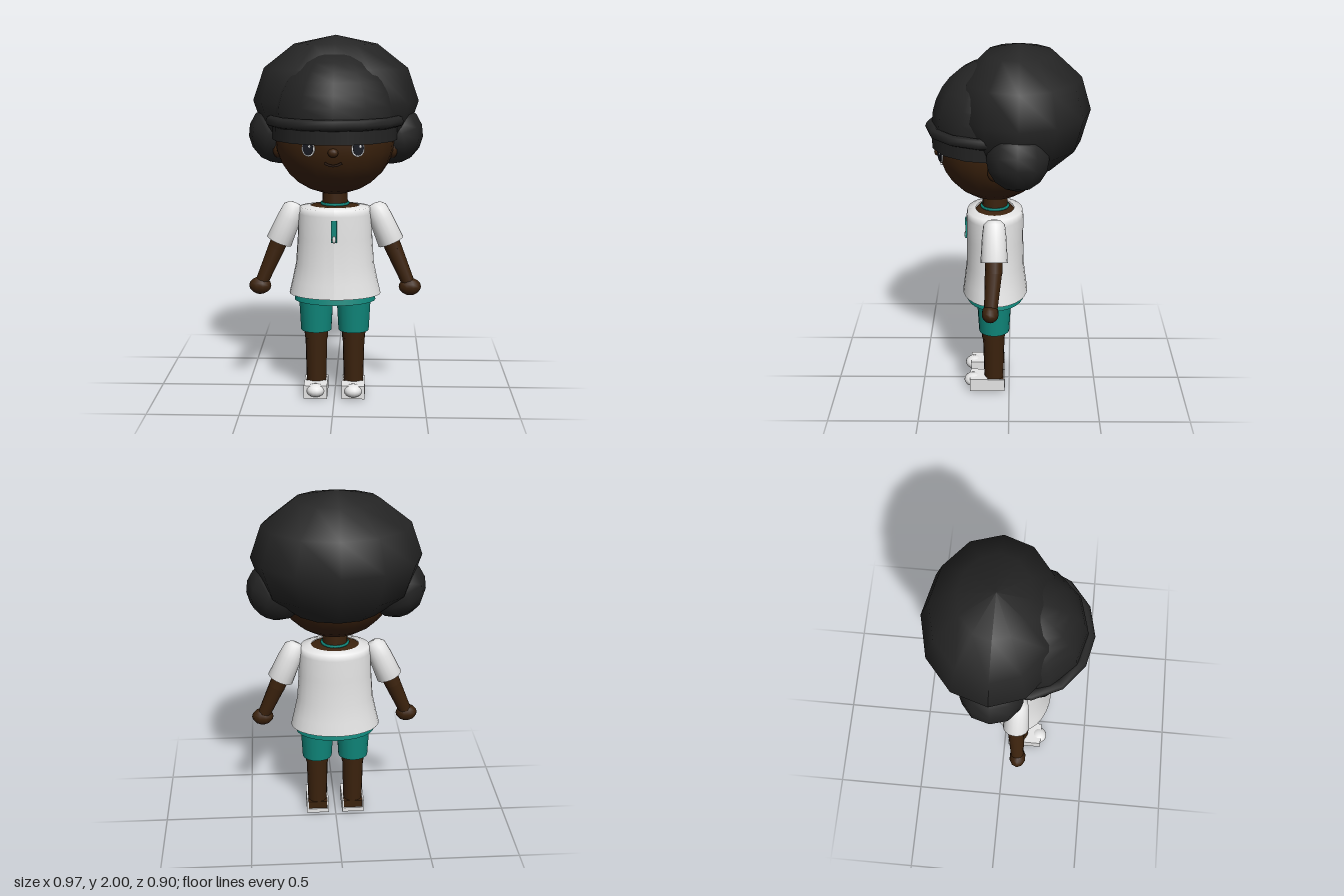
import * as THREE from 'three';

const mat = (name, color, side = THREE.FrontSide) => {
  const m = new THREE.MeshStandardMaterial({ color, side });
  m.name = name;
  return m;
};
const skin = mat('skin', 0x3b220d);
const hair = mat('hair', 0x242424, THREE.DoubleSide);
const cloth = mat('white cloth', 0xe6e6e6, THREE.DoubleSide);
const teal = mat('teal', 0x0f867a, THREE.DoubleSide);
const ink = mat('eye dark', 0x1a1c24);
const lip = mat('mouth', 0x241206);

const V2 = (pts) => pts.map(([x, y]) => new THREE.Vector2(x, y));
const CZ = 0.08; // depth of the body axis

export function createModel() {
  const root = new THREE.Group();
  const add = (name, geo, material, x = 0, y = 0, z = 0, parent = root) => {
    const m = new THREE.Mesh(geo, material);
    m.name = name;
    m.position.set(x, y, z);
    parent.add(m);
    return m;
  };
  const ball = (name, material, x, y, z, rx, ry, rz, seg = 16, rings = 12, parent = root) =>
    add(name, new THREE.SphereGeometry(1, seg, rings).scale(rx, ry, rz), material, x, y, z, parent);

  // Head
  ball('head', skin, 0, 1.45, CZ, 0.33, 0.31, 0.31, 20, 14);
  add('neck', new THREE.CylinderGeometry(0.068, 0.072, 0.16, 16), skin, 0, 1.12, CZ);
  ball('nose', skin, 0, 1.4, 0.39, 0.028, 0.024, 0.022, 10, 8);
  const smile = new THREE.QuadraticBezierCurve3(
    new THREE.Vector3(-0.045, 1.345, 0.37), new THREE.Vector3(0, 1.315, 0.375), new THREE.Vector3(0.045, 1.345, 0.37));
  add('mouth', new THREE.TubeGeometry(smile, 10, 0.007, 6), lip);

  // Hair: big rounded mass, slightly flattened in front and open underneath
  const afro = new THREE.SphereGeometry(1, 12, 5, 0, Math.PI * 2, 0, Math.PI * 5 / 6);
  afro.scale(0.46, 0.36, 0.39);
  const ap = afro.attributes.position;
  for (let i = 0; i < ap.count; i++) if (ap.getZ(i) > 0) ap.setZ(i, ap.getZ(i) * 0.92);
  afro.computeVertexNormals();
  add('hairMass', afro, hair, 0, 1.64, -0.05);

  // Cap-like front hair with a rolled rim and band
  const dome = new THREE.SphereGeometry(1, 12, 8, 0, Math.PI * 2, 0, Math.PI / 2);
  add('frontHair', dome.scale(0.345, 0.36, 0.345), hair, 0, 1.56, 0.075);
  const rim = new THREE.TorusGeometry(0.352, 0.03, 8, 14).rotateX(Math.PI / 2).rotateY(Math.PI / 14);
  // Turn the ring so that a flat side faces forward
  rim.rotateY(Math.PI / 2 - Math.PI / 14 + Math.PI);
  add('hairRim', rim, hair, 0, 1.545, 0.075);
  add('hairBand', new THREE.CylinderGeometry(0.35, 0.348, 0.1, 14, 1, true).rotateY(Math.PI / 14), hair, 0, 1.493, 0.075);

  // Torso and shirt
  const torso = add('torso', new THREE.LatheGeometry(V2([[0, 0.55], [0.19, 0.56], [0.17, 0.8], [0.17, 1.04], [0.13, 1.076], [0, 1.085]]), 20), skin, 0, 0, CZ);
  torso.scale.z = 0.74;
  const shirt = new THREE.LatheGeometry(V2([[0.255, 0.577], [0.238, 0.65], [0.217, 0.75], [0.207, 0.9], [0.203, 1.03], [0.195, 1.066], [0.135, 1.074]]), 28);
  const sp = shirt.attributes.position;
  for (let i = 0; i < sp.count; i++)
    sp.setZ(i, sp.getZ(i) * THREE.MathUtils.mapLinear(sp.getY(i), 0.577, 1.07, 0.72, 0.79));
  shirt.computeVertexNormals();
  add('shirt', shirt, cloth, 0, 0, CZ);
  add('collarCord', new THREE.TorusGeometry(0.074, 0.008, 6, 20).rotateX(Math.PI / 2), teal, 0, 1.086, CZ);
  add('shirtTab', new THREE.BoxGeometry(0.03, 0.12, 0.009), teal, 0, 0.953, 0.242);
  ball('tabBead', cloth, 0, 0.91, 0.247, 0.01, 0.02, 0.006, 8, 6);

  // Shorts waist
  const waist = add('shortsWaist', new THREE.CylinderGeometry(0.2, 0.227, 0.11, 24, 1, true), teal, 0, 0.595, CZ);
  waist.scale.z = 0.72;

  for (const s of [1, -1]) {
    const side = s > 0 ? 'left' : 'right';

    // Eye: stacked thin discs laid on the face
    const eye = new THREE.Group();
    eye.name = side + 'Eye';
    eye.position.set(s * 0.13, 1.42, 0.369);
    eye.rotation.set(0.06, s * 0.385, 0);
    root.add(eye);
    const disc = (name, m, rx, ry, x, y, z) =>
      add(name, new THREE.CylinderGeometry(1, 1, 0.006, 18).rotateX(Math.PI / 2).scale(rx, ry, 1), m, x, y, z, eye);
    disc('eyeWhite', cloth, 0.037, 0.042, 0, 0, 0);
    disc('iris', ink, 0.03, 0.039, 0, 0.004, 0.004);
    disc('glint', cloth, 0.006, 0.007, 0.01, 0.014, 0.006);

    // Ear and side puff
    ball(side + 'Ear', skin, s * 0.315, 1.385, 0.075, 0.03, 0.05, 0.04, 10, 8);
    const puff = ball(side + 'HairPuff', hair, s * 0.315, 1.457, -0.045, 0.172, 0.168, 0.172, 10, 8);
    puff.rotation.z = s * 0.3;

    // Arm: a group hanging outward from the shoulder
    const arm = new THREE.Group();
    arm.name = side + 'Arm';
    arm.position.set(s * 0.235, 1.045, CZ);
    arm.rotation.z = s * 0.405;
    root.add(arm);
    add('sleeve', new THREE.LatheGeometry(V2([[0.05, -0.19], [0.074, -0.192], [0.066, -0.05], [0.058, 0.015], [0.035, 0.038], [0, 0.045]]), 18), cloth, 0, 0, 0, arm);
    add('upperArm', new THREE.CylinderGeometry(0.05, 0.047, 0.16, 14), skin, 0, -0.17, 0.002, arm);
    const fore = add('forearm', new THREE.CylinderGeometry(0.047, 0.036, 0.21, 14), skin, 0, -0.342, 0.01, arm);
    fore.rotation.x = -0.07;
    ball(side + 'Hand', skin, s * 0.418, 0.618, 0.1, 0.062, 0.049, 0.047, 10, 8);

    // Leg
    const x = s * 0.105;
    add(side + 'ShortsLeg', new THREE.CylinderGeometry(0.098, 0.086, 0.21, 18, 1, true), teal, x, 0.47, 0.085);
    add(side + 'Thigh', new THREE.CylinderGeometry(0.075, 0.065, 0.26, 16), skin, x, 0.45, 0.09);
    add(side + 'Shin', new THREE.CylinderGeometry(0.062, 0.055, 0.27, 16), skin, x, 0.2, 0.088);

    // Shoe: side walls, upper, low heel strip and round toe about a bare foot
    const shoe = new THREE.Group();
    shoe.name = side + 'Shoe';
    shoe.position.set(x, 0, 0);
    root.add(shoe);
    add('foot', new THREE.BoxGeometry(0.112, 0.064, 0.185), skin, 0, 0.037, 0.125, shoe);
    for (const w of [1, -1])
      add('shoeWall', new THREE.BoxGeometry(0.01, 0.075, 0.2), cloth, w * 0.06, 0.0375, 0.125, shoe);
    add('shoeUpper', new THREE.BoxGeometry(0.11, 0.01, 0.1), cloth, 0, 0.07, 0.175, shoe);
    add('shoeFront', new THREE.BoxGeometry(0.11, 0.075, 0.01), cloth, 0, 0.0375, 0.22, shoe);
    add('heelStrip', new THREE.BoxGeometry(0.11, 0.025, 0.012), cloth, 0, 0.0125, 0.031, shoe);
    ball('toeCap', cloth, 0, 0.045, 0.21, 0.052, 0.037, 0.05, 14, 10, shoe);
  }
  return root;
}
